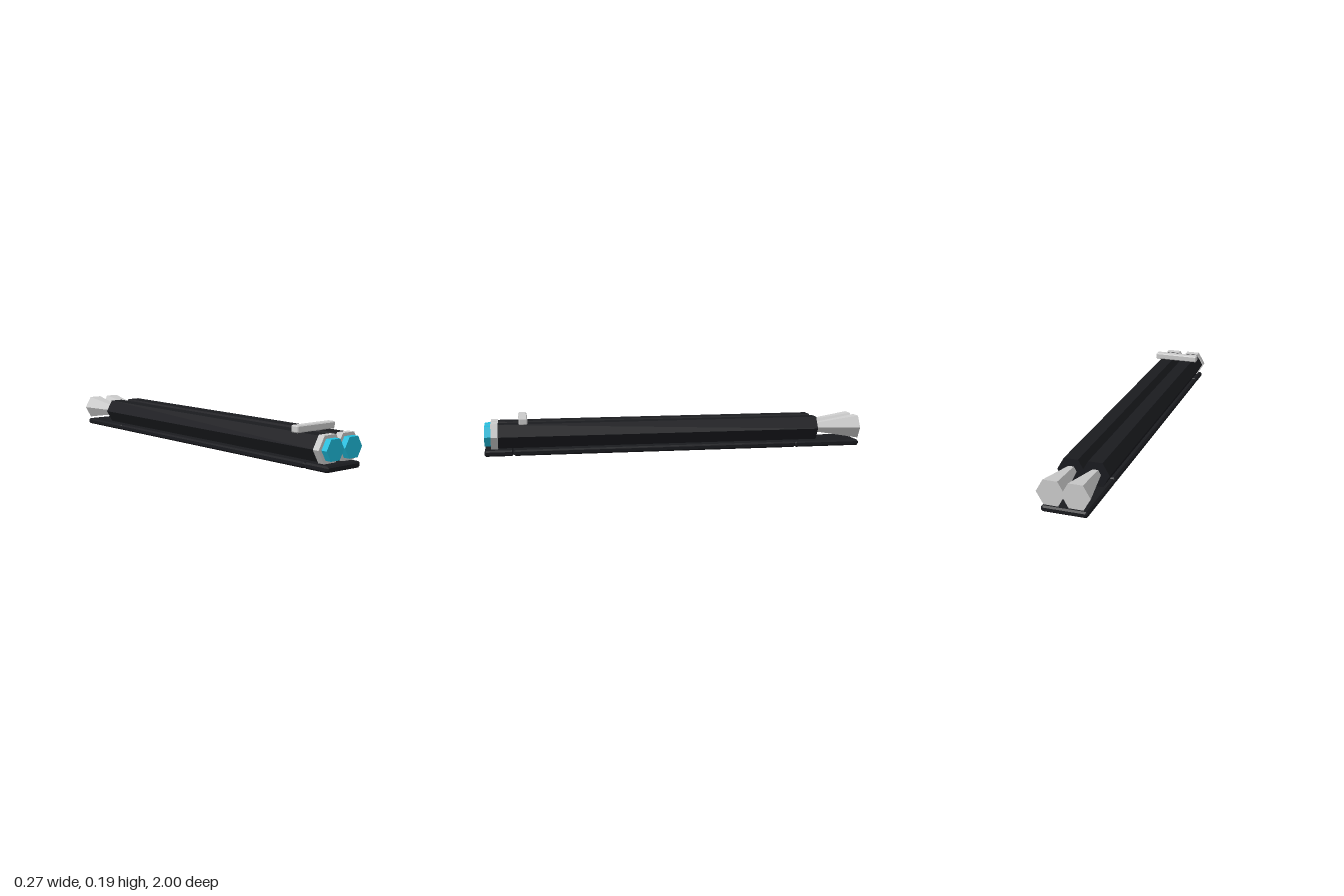
import * as THREE from 'three';

const grey = new THREE.MeshStandardMaterial({ color: 0xcccccc, flatShading: true });
const dark = new THREE.MeshStandardMaterial({ color: 0x1a1b1f, flatShading: true });
const cyan = new THREE.MeshStandardMaterial({ color: 0x1fbfdf, flatShading: true });

// Six-sided prism or cone along z, with corners pointing sideways
function hexPrism(name, material, x, zBack, zFront, rBack, rFront) {
  const geo = new THREE.CylinderGeometry(rFront, rBack, zFront - zBack, 6, 1, false, Math.PI / 2);
  geo.rotateX(Math.PI / 2);
  const mesh = new THREE.Mesh(geo, material);
  mesh.name = name;
  mesh.position.set(x, 0.1, (zBack + zFront) / 2);
  return mesh;
}

// Box with every edge chamfered by c
function chamferBox(name, material, halfW, yLow, yHigh, zBack, zFront, c) {
  const h = (yHigh - yLow) / 2;
  const w = halfW;
  const shape = new THREE.Shape([
    [w - c, -h], [w, -h + c], [w, h - c], [w - c, h],
    [c - w, h], [-w, h - c], [-w, c - h], [c - w, -h],
  ].map(([x, y]) => new THREE.Vector2(x, y)));
  const geo = new THREE.ExtrudeGeometry(shape, {
    depth: zFront - zBack - 2 * c, bevelEnabled: true, bevelSegments: 1,
    bevelSize: c, bevelThickness: c, bevelOffset: -c,
  });
  const mesh = new THREE.Mesh(geo, material);
  mesh.name = name;
  mesh.position.set(0, yLow + h, zBack + c);
  return mesh;
}

export function createModel() {
  const model = new THREE.Group();
  model.name = 'twinBarrel';

  // Two parallel barrels, each with a collar, a lens and a flared rear nozzle
  for (const [side, s] of [['left', 1], ['right', -1]]) {
    const x = s * 0.06;
    model.add(
      hexPrism(side + 'Barrel', dark, x, -0.76, 0.935, 0.07, 0.07),
      hexPrism(side + 'Collar', grey, x, 0.932, 0.968, 0.075, 0.075),
      hexPrism(side + 'Lens', cyan, x, 0.96, 1, 0.0575, 0.0575),
      hexPrism(side + 'Nozzle', grey, x, -1, -0.755, 0.07, 0.026),
    );
  }

  // Base plate in three chamfered lengths
  for (const [name, back, front] of [
    ['rearBase', -1, -0.64], ['middleBase', -0.64, 0.855], ['frontBase', 0.855, 1],
  ]) model.add(chamferBox(name, dark, 0.112, 0, 0.03, back, front, 0.008));

  // Crossbar on top near the front
  model.add(chamferBox('crossbar', grey, 0.126, 0.16, 0.195, 0.783, 0.827, 0.005));

  return model;
}
